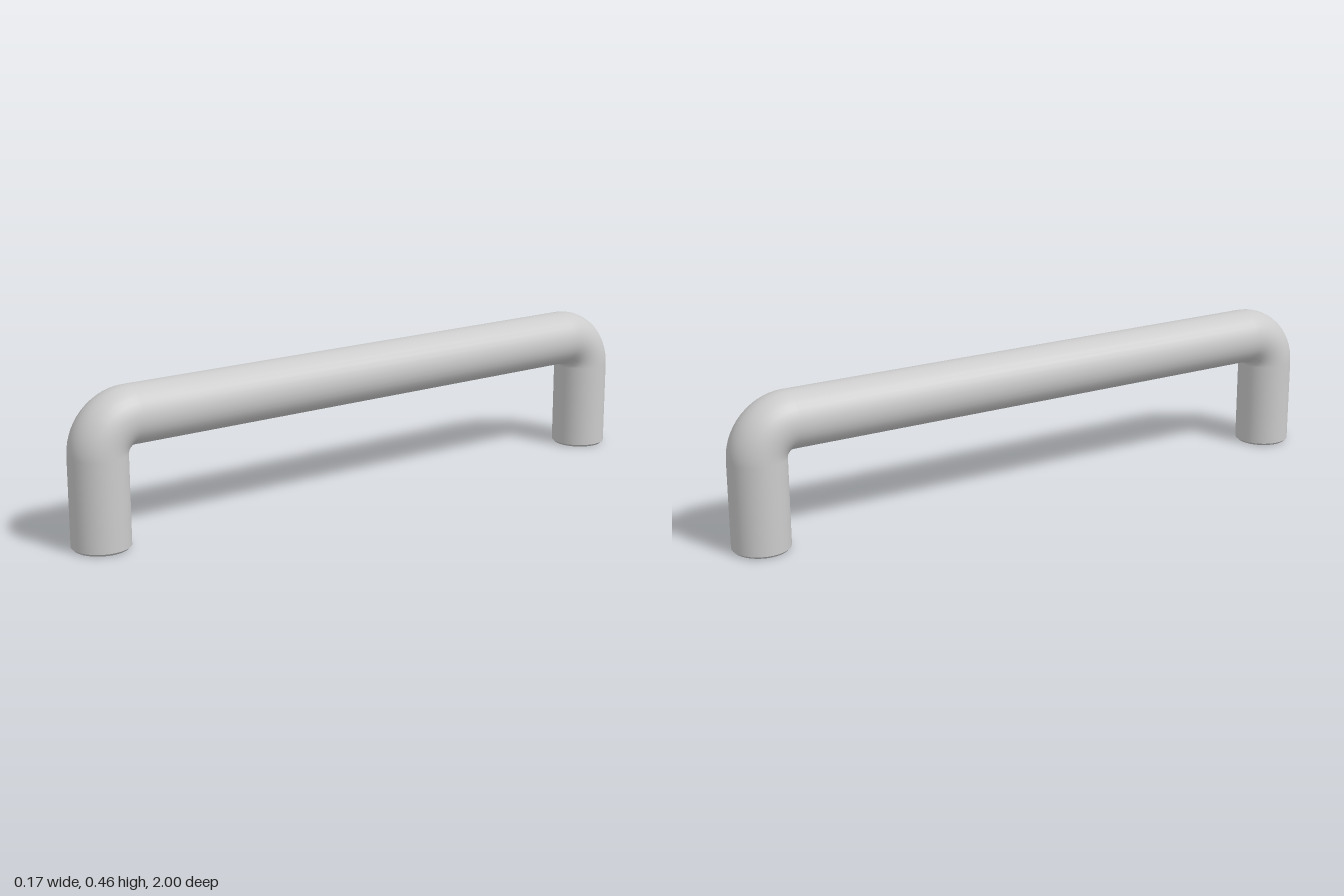
import * as THREE from 'three';

const R = 0.0865;       // rod radius
const BEND = 0.1;       // bend radius at the rod's centre line
const TOP = 0.459;      // overall height
const CHAMFER = 0.007;  // bevel at the feet
const SIDES = 32;

const BAR_Y = TOP - R;
const LEG_Z = 1 - R;
const BEND_Y = BAR_Y - BEND;
const BEND_Z = LEG_Z - BEND;

export function createModel() {
  const model = new THREE.Group();
  model.name = 'pullHandle';
  const material = new THREE.MeshStandardMaterial({ color: 0xcccccc });

  const add = (parent, name, geometry) => {
    const mesh = new THREE.Mesh(geometry, material);
    mesh.name = name;
    parent.add(mesh);
    return mesh;
  };

  // Straight grip between the two bends
  add(model, 'gripBar', new THREE.CylinderGeometry(R, R, 2 * BEND_Z, SIDES, 1, true)
    .rotateX(Math.PI / 2).translate(0, BAR_Y, 0));

  for (const [end, side] of [['front', 1], ['back', -1]]) {
    const post = new THREE.Group();
    post.name = end + 'Post';
    post.position.z = side * LEG_Z;
    model.add(post);

    // Quarter bend from the leg into the grip
    add(post, end + 'Bend', new THREE.TorusGeometry(BEND, R, SIDES, 14, Math.PI / 2)
      .rotateY(-side * Math.PI / 2).translate(0, BEND_Y, -side * BEND));

    // Upright leg
    const height = BEND_Y - CHAMFER;
    add(post, end + 'Leg', new THREE.CylinderGeometry(R, R, height, SIDES, 1, true)
      .translate(0, CHAMFER + height / 2, 0));

    // Bevelled foot with a flat mounting face
    add(post, end + 'FootBevel',
      new THREE.CylinderGeometry(R, R - CHAMFER, CHAMFER, SIDES, 1, true)
        .translate(0, CHAMFER / 2, 0));
    add(post, end + 'FootFace', new THREE.CircleGeometry(R - CHAMFER, SIDES)
      .rotateX(Math.PI / 2));
  }
  return model;
}
